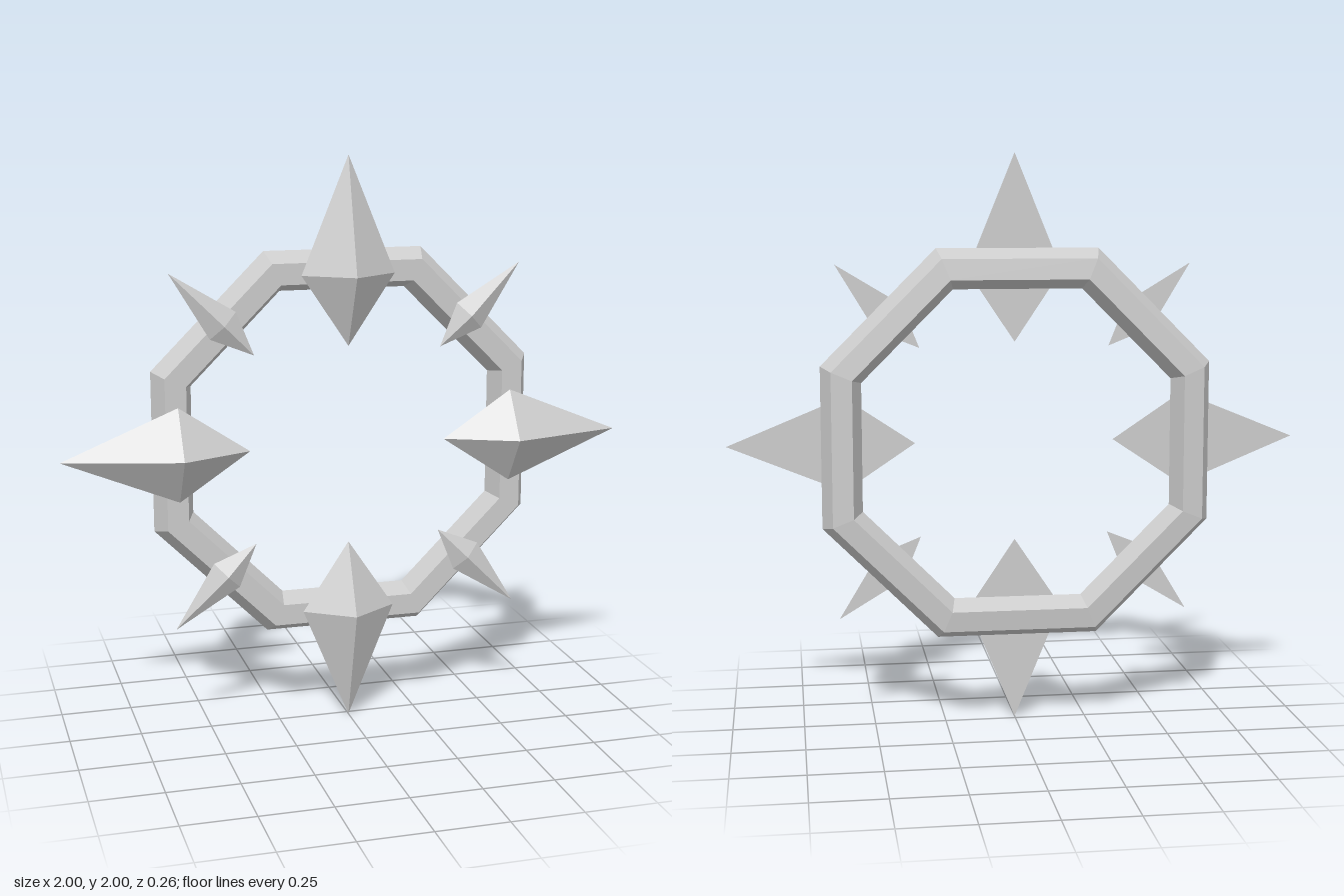
import * as THREE from 'three';

const material = new THREE.MeshStandardMaterial({ color: 0xcccccc, flatShading: true });

function makeGeometry(points) {
  const geometry = new THREE.BufferGeometry().setFromPoints(points);
  geometry.computeVertexNormals();
  return geometry;
}

// Eight-sided ring swept from a six-sided section of [distance to flat side, z]
function ringGeometry() {
  const section = [
    [0.677, -0.053], [0.64, 0.017], [0.567, 0.017],
    [0.538, -0.06], [0.572, -0.132], [0.643, -0.124],
  ];
  const sides = 8;
  const corner = (i, j) => {
    const [apothem, z] = section[j % section.length];
    const angle = ((i + 0.5) / sides) * Math.PI * 2;
    const radius = apothem / Math.cos(Math.PI / sides);
    return new THREE.Vector3(radius * Math.cos(angle), radius * Math.sin(angle), z);
  };
  const points = [];
  for (let i = 0; i < sides; i++) {
    for (let j = 0; j < section.length; j++) {
      const a = corner(i, j), b = corner(i + 1, j);
      const c = corner(i + 1, j + 1), d = corner(i, j + 1);
      points.push(a, b, c, a, c, d);
    }
  }
  return makeGeometry(points);
}

// Flat-backed kite pyramid pointing along +y
function spikeGeometry(inner, middle, tip, halfWidth, apexZ) {
  const back = 0.02;
  const kite = [[0, tip], [-halfWidth, middle], [0, inner], [halfWidth, middle]]
    .map(([x, y]) => new THREE.Vector3(x, y, back));
  const apex = new THREE.Vector3(0, middle, apexZ);
  const points = [];
  kite.forEach((p, i) => points.push(p, kite[(i + 1) % 4], apex));
  points.push(kite[0], kite[2], kite[1], kite[0], kite[3], kite[2]);
  return makeGeometry(points);
}

export function createModel() {
  const model = new THREE.Group();
  model.name = 'spikedRing';
  const add = (name, geometry, turn = 0) => {
    const mesh = new THREE.Mesh(geometry, material);
    mesh.name = name;
    mesh.position.y = 1;
    mesh.rotation.z = turn;
    model.add(mesh);
  };

  add('ring', ringGeometry());

  // Large spikes on the axes, small ones on the diagonals
  const large = spikeGeometry(0.35, 0.597, 1, 0.165, 0.13);
  const small = spikeGeometry(0.47, 0.62, 0.878, 0.064, 0.05);
  for (let i = 0; i < 4; i++) {
    add('largeSpike' + (i + 1), large, (i * Math.PI) / 2);
    add('smallSpike' + (i + 1), small, ((i + 0.5) * Math.PI) / 2);
  }
  return model;
}
